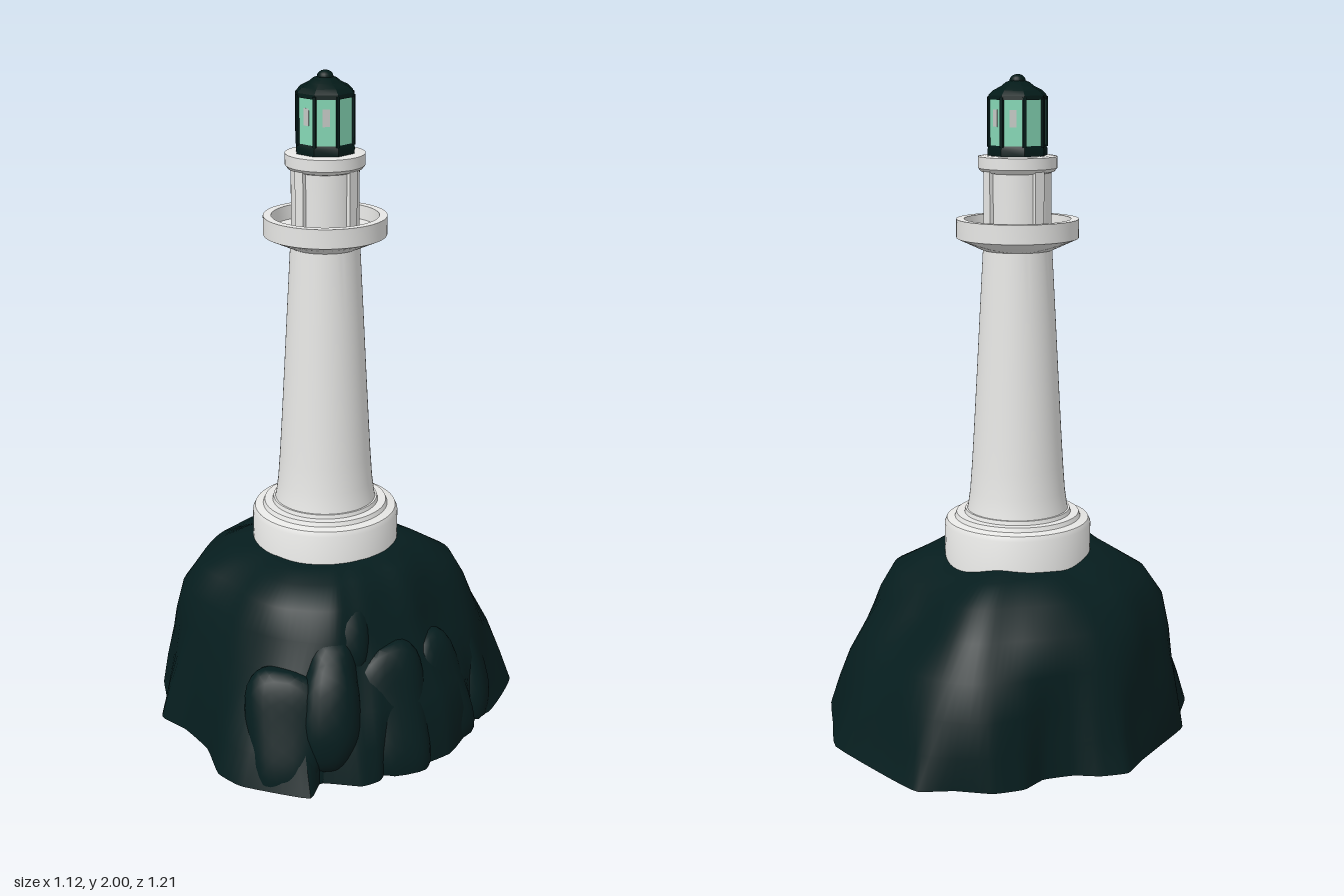
import * as THREE from 'three';
import { mergeVertices, toCreasedNormals } from 'three/addons/utils/BufferGeometryUtils.js';

const material = (name, color) => {
  const m = new THREE.MeshStandardMaterial({ color });
  m.name = name;
  return m;
};

// Outline of the rock on the ground, x and z pairs from the back round to the right
const OUTLINE = [
  0.10, -0.61, 0.26, -0.53, 0.42, -0.445, 0.47, -0.33, 0.50, -0.23, 0.49, -0.15, 0.52, -0.10, 0.55, 0, 0.56, 0.05,
  0.54, 0.14, 0.48, 0.24, 0.50, 0.30, 0.48, 0.36, 0.38, 0.43, 0.41, 0.51, 0.22, 0.60, 0.12, 0.60, 0, 0.53,
  -0.13, 0.50, -0.24, 0.50, -0.32, 0.41, -0.41, 0.34, -0.47, 0.20, -0.52, 0.08, -0.56, 0, -0.53, -0.08,
  -0.48, -0.14, -0.45, -0.23, -0.47, -0.31, -0.44, -0.40, -0.36, -0.48, -0.30, -0.57, -0.17, -0.59,
];
// Share of the outline kept at each height, every 45 degrees from the front (+z) round through +x
const HEIGHTS = [0, 0.1, 0.2, 0.3, 0.4, 0.48, 0.53, 0.548];
const SHRINK = [
  [1, 0.95, 0.88, 0.81, 0.76, 0.68, 0.56, 0.42],
  [1, 0.96, 0.90, 0.80, 0.73, 0.66, 0.55, 0.42],
  [1, 0.98, 0.94, 0.81, 0.71, 0.64, 0.55, 0.42],
  [1, 0.95, 0.90, 0.84, 0.77, 0.69, 0.52, 0.40],
  [1, 0.95, 0.90, 0.80, 0.62, 0.55, 0.47, 0.36],
  [1, 0.97, 0.94, 0.89, 0.78, 0.66, 0.50, 0.38],
  [1, 0.96, 0.92, 0.88, 0.82, 0.68, 0.44, 0.34],
  [1, 0.98, 0.95, 0.92, 0.87, 0.76, 0.58, 0.42],
];

function shrinkAt(angle, j) {
  const t = ((angle / (Math.PI / 4)) + 8) % 8, k = Math.floor(t);
  return THREE.MathUtils.lerp(SHRINK[k][j], SHRINK[(k + 1) % 8][j], THREE.MathUtils.smoothstep(t - k, 0, 1));
}

function rockGeometry() {
  const corners = [];
  for (let i = 0; i < OUTLINE.length; i += 2) corners.push(new THREE.Vector3(OUTLINE[i], 0, OUTLINE[i + 1]));
  const n = 128;
  const ring = new THREE.CatmullRomCurve3(corners, true, 'catmullrom', 0.2).getPoints(n).slice(0, n);
  // the outline grows rounder towards the top
  const round = ring.map((_, i) => {
    const mean = new THREE.Vector3();
    for (let k = -7; k <= 7; k++) mean.addScaledVector(ring[(i + k + n) % n], 1 / 15);
    return mean.multiplyScalar(1.015);
  });
  const pos = [], index = [], p = new THREE.Vector3();
  HEIGHTS.forEach((h, j) => {
    for (let i = 0; i < n; i++) {
      p.lerpVectors(ring[i], round[i], Math.min(1, h / 0.3));
      const a = Math.atan2(p.x, p.z);
      let s = shrinkAt(a, j);
      if (h > 0) s += 0.01 * Math.sin(5 * a + 9 * h) + 0.008 * Math.sin(9 * a - 14 * h);
      const backAngle = Math.PI - Math.abs(a);
      const y = h * (1 - 0.05 * Math.exp(-((backAngle / 0.5) ** 2)));
      pos.push(p.x * s, y, p.z * s);
    }
  });
  const at = (j, i) => j * n + (i % n);
  const last = HEIGHTS.length - 1;
  const top = pos.length / 3;
  pos.push(0, 0.52, 0, 0, 0, 0);
  for (let i = 0; i < n; i++) {
    for (let j = 0; j < last; j++) {
      const a = at(j, i), b = at(j, i + 1), c = at(j + 1, i), d = at(j + 1, i + 1);
      index.push(a, c, b, b, c, d);
    }
    index.push(at(last, i + 1), at(last, i), top, at(0, i), at(0, i + 1), top + 1);
  }
  const g = new THREE.BufferGeometry();
  g.setAttribute('position', new THREE.Float32BufferAttribute(pos, 3));
  g.setIndex(index);
  return toCreasedNormals(g, 0.6);
}

// Blocky boulder leaning in towards the tower, cut off flat at the ground
function boulderGeometry([x, y, z, width, height, depth], seed) {
  let g = new THREE.IcosahedronGeometry(1, 5);
  g.deleteAttribute('uv');
  g.deleteAttribute('normal');
  g = mergeVertices(g);
  const blocky = (t) => Math.sign(t) * Math.abs(t) ** 0.75;
  const p = g.attributes.position, v = new THREE.Vector3();
  const turn = new THREE.Euler(-0.35, Math.atan2(x, z), 0.2 * Math.sin(seed * 2), 'YXZ');
  for (let i = 0; i < p.count; i++) {
    v.fromBufferAttribute(p, i);
    const k = 1 + 0.07 * Math.sin(3 * v.x + seed) + 0.07 * Math.sin(4 * v.y - 2 * v.z + 2 * seed);
    v.set(blocky(v.x) * width, blocky(v.y) * height, blocky(v.z) * depth).multiplyScalar(k).applyEuler(turn);
    p.setXYZ(i, x + v.x, Math.max(0, y + v.y), z + v.z);
  }
  return toCreasedNormals(g, 0.5);
}

export function createModel() {
  const model = new THREE.Group();
  model.name = 'lighthouse';
  const rockMat = material('dark rock', 0x061d1e);
  const white = material('white stone', 0xefefed);
  const metal = material('dark green metal', 0x031a18);
  const glass = material('green glass', 0x86d8b6);
  const pale = material('pale lamp', 0xc4c8c4);

  const add = (name, geometry, mat, parent = model) => {
    const mesh = new THREE.Mesh(geometry, mat);
    mesh.name = name;
    parent.add(mesh);
    return mesh;
  };
  const lathe = (points, sides = 64, start = 0) => toCreasedNormals(
    new THREE.LatheGeometry(points.map(([r, y]) => new THREE.Vector2(r, y)), sides, start), 0.5);
  // Repeat a mesh around the tower axis
  const around = (name, count, offset, build) => {
    for (let i = 0; i < count; i++) {
      const pivot = new THREE.Group();
      pivot.name = name;
      pivot.rotation.y = offset + (i / count) * Math.PI * 2;
      model.add(pivot);
      build(pivot, i);
    }
  };

  // Rock with boulders on its left and front
  add('rock', rockGeometry(), rockMat);
  [
    [0.41, 0.14, 0.17, 0.12, 0.22, 0.10],
    [0.33, 0.20, 0.34, 0.10, 0.19, 0.09],
    [0.26, 0.14, 0.44, 0.12, 0.20, 0.09],
    [0.26, 0.37, 0.24, 0.10, 0.13, 0.09],
    [0.42, 0.15, -0.03, 0.10, 0.20, 0.09],
    [0.37, 0.17, -0.20, 0.09, 0.22, 0.08],
  ].forEach((b, i) => add('boulder', boulderGeometry(b, i * 1.7), rockMat));

  // Foundation drum with stepped top
  add('foundation', lathe([
    [0.227, 0.42], [0.227, 0.635], [0.22, 0.65], [0.195, 0.655], [0.19, 0.668], [0.165, 0.668], [0.162, 0.68], [0.13, 0.68],
  ]), white);

  // Tapering shaft flared at its foot
  add('shaft', lathe([
    [0.16, 0.66], [0.154, 0.69], [0.147, 0.74], [0.141, 0.82], [0.135, 0.92], [0.125, 1.1], [0.116, 1.27], [0.104, 1.49],
  ]), white);

  // Gallery with parapet
  add('gallery', lathe([
    [0.09, 1.485], [0.108, 1.485], [0.184, 1.52], [0.184, 1.577], [0.16, 1.577], [0.157, 1.535], [0.08, 1.535],
  ]), white);

  // Watch room with four pilasters and cornice
  add('watchRoom', lathe([[0.101, 1.53], [0.101, 1.73]]), white);
  around('pilaster', 4, 0, (pivot) => {
    add('pilasterBlock', new THREE.BoxGeometry(0.032, 0.19, 0.02), white, pivot).position.set(0, 1.63, 0.102);
  });
  add('cornice', lathe([
    [0.095, 1.712], [0.11, 1.718], [0.118, 1.728], [0.118, 1.762], [0.1, 1.765], [0, 1.765],
  ]), white);

  // Eight-sided lantern
  const eighth = Math.PI / 8;
  add('lanternSill', lathe([[0.086, 1.762], [0.091, 1.765], [0.091, 1.785], [0.085, 1.797], [0, 1.797]], 8, eighth), metal);
  add('lanternGlass', lathe([[0.086, 1.79], [0.086, 1.94]], 8, eighth), glass);
  around('mullion', 8, eighth, (pivot) => {
    add('mullionBar', new THREE.BoxGeometry(0.01, 0.145, 0.01), metal, pivot).position.set(0, 1.863, 0.086);
  });
  around('lampGlow', 8, 0, (pivot, i) => {
    if (i % 4 === 2) return;
    add('lampPlate', new THREE.BoxGeometry(0.02, 0.05, 0.002), pale, pivot).position.set(0, 1.875, 0.0798);
  });

  // Domed roof with ball finial
  add('lanternRoof', lathe([
    [0, 1.928], [0.09, 1.928], [0.088, 1.94], [0.074, 1.954], [0.05, 1.966], [0.036, 1.977], [0.02, 1.983], [0, 1.984],
  ], 8, eighth), metal);
  const finial = add('finial', new THREE.SphereGeometry(0.024, 20, 12), metal);
  finial.scale.y = 0.8;
  finial.position.y = 1.981;

  return model;
}
